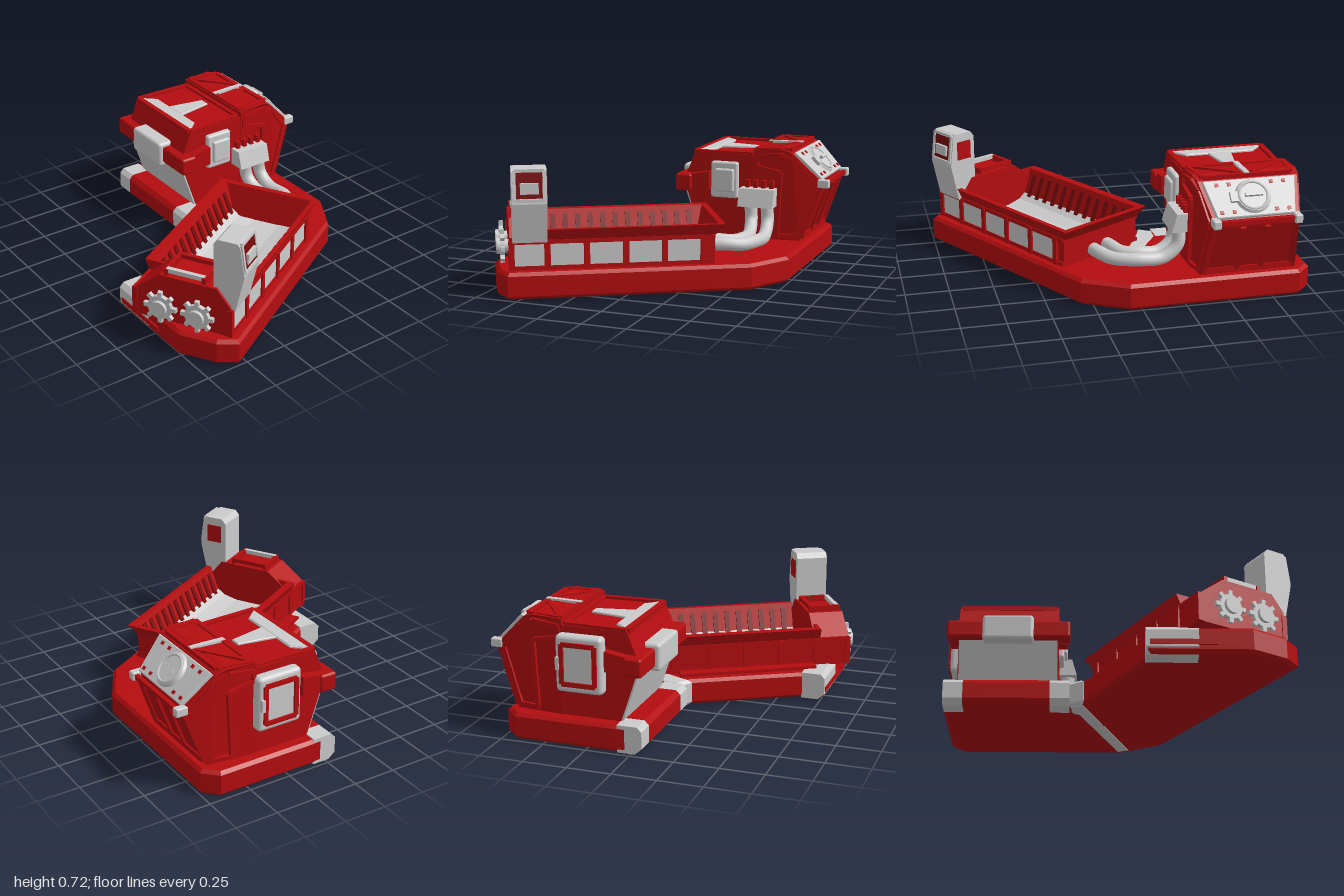
import * as THREE from 'three';
import { RoundedBoxGeometry } from 'three/addons/geometries/RoundedBoxGeometry.js';

const red = new THREE.MeshStandardMaterial({ color: 0xb50d0f });
const dark = new THREE.MeshStandardMaterial({ color: 0x7a0808 });
const grey = new THREE.MeshStandardMaterial({ color: 0xcccccc });
const V = (p) => new THREE.Vector3(...p);

function add(parent, name, geo, mat, pos = [0, 0, 0]) {
  const m = new THREE.Mesh(geo, mat);
  m.name = name;
  m.position.set(...pos);
  parent.add(m);
  return m;
}
// Box given by its ranges
function box(parent, name, mat, [x0, x1], [y0, y1], [z0, z1], r = 0) {
  const s = [x1 - x0, y1 - y0, z1 - z0];
  const g = r ? new RoundedBoxGeometry(...s, 2, r) : new THREE.BoxGeometry(...s);
  return add(parent, name, g, mat, [(x0 + x1) / 2, (y0 + y1) / 2, (z0 + z1) / 2]);
}
// Square bar between two points
function bar(parent, name, mat, a, b, w = 0.025, h = w) {
  const A = V(a), B = V(b);
  const m = new THREE.Mesh(new THREE.BoxGeometry(w, h, A.distanceTo(B)), mat);
  m.name = name;
  m.position.copy(A).lerp(B, 0.5);
  m.lookAt(B);
  parent.add(m);
}
const loopBars = (parent, name, mat, pts, w) =>
  pts.forEach((p, i) => bar(parent, name, mat, p, pts[(i + 1) % pts.length], w));

const shape = (pts) => new THREE.Shape(pts.map((p) => new THREE.Vector2(...p)));
// Profile in (x, y), swept along z
const sweepZ = (pts, z0, z1) =>
  new THREE.ExtrudeGeometry(shape(pts), { depth: z1 - z0, bevelEnabled: false }).translate(0, 0, z0);
// Profile in (z, y), swept across x
const sweepX = (pts, x0, x1) => sweepZ(pts, 0, x1 - x0).rotateY(-Math.PI / 2).translate(x1, 0, 0);
// Outline in (x, z), raised from y0 to y1 with chamfered edges
function slab(pts, y0, y1, b) {
  const g = new THREE.ExtrudeGeometry(shape(pts), {
    depth: y1 - y0 - 2 * b, bevelThickness: b, bevelSize: b, bevelOffset: -b, bevelSegments: 1 });
  return g.rotateX(Math.PI / 2).translate(0, y1 - b, 0);
}
// Flat-sided skin through rectangles [x0, x1, z0, z1, y]
function rectLoft(rings) {
  const pos = [];
  const c = rings.map(([a, b, d, e, y]) => [[a, y, d], [a, y, e], [b, y, e], [b, y, d]]);
  for (let i = 0; i + 1 < c.length; i++) for (let j = 0; j < 4; j++) {
    const k = (j + 1) % 4;
    for (const p of [c[i][j], c[i][k], c[i + 1][k], c[i][j], c[i + 1][k], c[i + 1][j]]) pos.push(...p);
  }
  const g = new THREE.BufferGeometry();
  g.setAttribute('position', new THREE.Float32BufferAttribute(pos, 3));
  g.computeVertexNormals();
  return g;
}

function buildBase(root) {
  const base = new THREE.Group();
  base.name = 'base';
  add(base, 'basePlate', slab([[-0.98, -0.67], [-0.9, -0.75], [0.07, -0.75], [0.32, -0.61], [1, 0.55],
    [0.93, 0.65], [0.74, 0.765], [0.18, 0.765], [0.17, 0.64], [-0.16, 0.06], [-0.26, 0], [-0.27, 0.03],
    [-0.97, 0.03], [-0.98, -0.1]], 0.003, 0.152, 0.018), red);
  const end = (z) => [[z - 0.14, 0.001], [z - 0.04, 0.001], [z, 0.035], [z, 0.13], [z - 0.025, 0.156], [z - 0.14, 0.156]];
  add(base, 'shortArmEnd', sweepX(end(0.062), -0.86, -0.36), red);
  add(base, 'shortArmCorner', sweepX(end(0.062), -0.975, -0.86), grey);
  add(base, 'shortArmCorner', sweepX(end(0.062), -0.36, -0.245), grey);
  add(base, 'longArmEnd', sweepX(end(0.772), 0.168, 0.45), grey);
  bar(base, 'markingStrip', red, [0.19, 0.06, 0.77], [0.55, 0.06, 0.77], 0.012, 0.03);
  bar(base, 'jointSeam', grey, [0.08, 0.007, -0.7], [-0.2, 0.007, 0.02], 0.07, 0.014);
  add(base, 'jointCorner', slab([[-0.25, -0.08], [-0.1, -0.3], [-0.04, -0.2], [-0.13, -0.02], [-0.165, 0.065], [-0.255, 0.01]], 0.003, 0.156, 0.018), grey);
  root.add(base);
}

function buildCabin(root) {
  const cab = new THREE.Group();
  cab.name = 'cabin';
  const cx = -0.61;
  add(cab, 'frontHousing', sweepX([[-0.08, 0.15], [0.01, 0.42], [0.01, 0.53], [-0.04, 0.655],
    [-0.44, 0.655], [-0.44, 0.15]], -0.905, -0.315), red);
  add(cab, 'frontPlate', sweepX([[-0.085, 0.15], [-0.07, 0.15], [0.02, 0.42], [0.01, 0.42]], -0.9, -0.32), grey);
  // Rear housing narrows toward the back
  const rear = sweepX([[-0.69, 0.15], [-0.41, 0.15], [-0.41, 0.69], [-0.58, 0.7], [-0.64, 0.68],
    [-0.81, 0.51], [-0.8, 0.46]], -0.91, -0.31);
  const narrow = (x, z) => cx + (x - cx) * (z < -0.58 ? 1 - (-0.58 - z) * 0.85 : 1);
  const p = rear.attributes.position;
  for (let i = 0; i < p.count; i++) p.setX(i, narrow(p.getX(i), p.getZ(i)));
  rear.computeVertexNormals();
  add(cab, 'rearHousing', rear, red);

  // Wrap-round band and centre block
  box(cab, 'frontBand', red, [-0.97, -0.245], [0.425, 0.53], [-0.04, 0.062], 0.015);
  box(cab, 'bandBlock', grey, [-0.76, -0.46], [0.4, 0.555], [-0.02, 0.09], 0.02);
  for (const x of [-0.93, -0.29])
    add(cab, 'bandArm', sweepX([[-0.15, 0.44], [-0.03, 0.425], [-0.03, 0.53], [-0.15, 0.55]], x - 0.03, x + 0.03), red);

  // Roof frames
  add(cab, 'roofLip', slab([[-0.89, -0.045], [-0.33, -0.045], [-0.41, -0.135], [-0.81, -0.135]], 0.64, 0.668, 0.006), grey);
  loopBars(cab, 'roofFrame', red, [[-0.89, 0.655, -0.045], [-0.33, 0.655, -0.045], [-0.34, 0.655, -0.4], [-0.88, 0.655, -0.4]], 0.03);
  add(cab, 'roofCentre', slab([[-0.68, -0.13], [-0.54, -0.13], [-0.58, -0.35], [-0.64, -0.35]], 0.64, 0.667, 0.004), grey);
  loopBars(cab, 'rearRoofFrame', red, [[-0.89, 0.688, -0.43], [-0.33, 0.688, -0.43], [-0.36, 0.69, -0.62], [-0.86, 0.69, -0.62]], 0.028);
  bar(cab, 'roofSpine', grey, [cx, 0.695, -0.42], [cx, 0.7, -0.63], 0.03, 0.022);
  for (const s of [-1, 1]) {
    bar(cab, 'rearRoofBrace', red, [cx + s * 0.03, 0.697, -0.61], [cx + s * 0.26, 0.692, -0.44], 0.025);
    const x = cx + s * 0.3;
    // Raised side frames and back wall ribs
    const side = [[-0.43, 0.65], [-0.58, 0.67], [-0.66, 0.63], [-0.775, 0.49], [-0.67, 0.18], [-0.56, 0.18], [-0.58, 0.56], [-0.43, 0.59]];
    loopBars(cab, 'sideFrame', red, side.map(([z, y]) => [narrow(x, z), y, z]), 0.022);
    bar(cab, 'backEdge', red, [cx + s * 0.23, 0.48, -0.8], [cx + s * 0.255, 0.17, -0.69], 0.035);
    bar(cab, 'backRib', red, [cx + s * 0.07, 0.46, -0.8], [cx + s * 0.07, 0.17, -0.695], 0.03);
    box(cab, 'backClamp', grey, [cx + s * 0.23 - 0.022, cx + s * 0.23 + 0.022], [0.475, 0.525], [-0.86, -0.79], 0.008);
  }
  bar(cab, 'backRail', red, [-0.84, 0.5, -0.835], [-0.38, 0.5, -0.835], 0.025);
  bar(cab, 'backSill', red, [-0.86, 0.18, -0.7], [-0.36, 0.18, -0.7], 0.03);

  // Sloping rear panel with round hatch
  const panel = new THREE.Group();
  panel.name = 'rearPanel';
  panel.position.set(cx, 0.598, -0.728);
  panel.rotation.x = -Math.PI / 4;
  add(panel, 'panelPlate', slab([[-0.22, -0.115], [0.22, -0.115], [0.265, 0.11], [-0.265, 0.11]], -0.01, 0.015, 0.005), grey);
  add(panel, 'hatch', new THREE.CylinderGeometry(0.09, 0.105, 0.02, 32), grey, [0, 0.02, 0]);
  add(panel, 'hatchRing', new THREE.TorusGeometry(0.08, 0.007, 6, 32).rotateX(Math.PI / 2), grey, [0, 0.031, 0]);
  bar(panel, 'hatchHandle', grey, [-0.05, 0.042, 0], [0.05, 0.042, 0], 0.018);
  box(panel, 'hatchHinge', grey, [0.09, 0.13], [0.01, 0.035], [-0.03, 0.03]);
  for (const x of [-0.19, -0.12, 0.12, 0.19]) for (const z of [-0.085, 0.08])
    box(panel, 'panelBolt', red, [x - 0.01, x + 0.01], [0.01, 0.02], [z - 0.01, z + 0.01]);
  cab.add(panel);

  // Side boxes
  box(cab, 'sideBoxFrame', grey, [-0.33, -0.285], [0.39, 0.61], [-0.32, -0.15], 0.015);
  box(cab, 'sideBoxCover', grey, [-0.3, -0.265], [0.43, 0.57], [-0.3, -0.18], 0.012);
  add(cab, 'pipeBox', sweepZ([[-0.32, 0.36], [-0.21, 0.36], [-0.24, 0.465], [-0.32, 0.465]], -0.56, -0.345), grey);
  for (let i = 0; i < 4; i++) {
    const z = -0.38 - i * 0.05;
    box(cab, 'ventTooth', red, [-0.32, -0.285], [0.46, 0.51], [z - 0.012, z + 0.012]);
  }
  box(cab, 'screenBox', grey, [-0.965, -0.89], [0.3, 0.62], [-0.43, -0.16], 0.025);
  loopBars(cab, 'screenFrame', red, [[-0.965, 0.35, -0.39], [-0.965, 0.57, -0.39], [-0.965, 0.57, -0.2], [-0.965, 0.35, -0.2]], 0.025);
  box(cab, 'screenCatch', grey, [-0.985, -0.95], [0.43, 0.5], [-0.42, -0.4]);

  // Pipes from the cabin to the trough
  [[[-0.26, 0.4, -0.51], [-0.255, 0.28, -0.52], [-0.17, 0.21, -0.53], [-0.02, 0.21, -0.535], [0.11, 0.21, -0.48], [0.17, 0.22, -0.4], [0.19, 0.22, -0.35]],
    [[-0.26, 0.4, -0.41], [-0.255, 0.28, -0.42], [-0.17, 0.21, -0.435], [-0.05, 0.21, -0.44], [0.04, 0.21, -0.4], [0.085, 0.22, -0.32], [0.1, 0.22, -0.285]]].forEach((pts) =>
    add(cab, 'pipe', new THREE.TubeGeometry(new THREE.CatmullRomCurve3(pts.map(V)), 40, 0.038, 14), grey));
  root.add(cab);
}

function buildTrough(root) {
  const t = new THREE.Group();
  t.name = 'trough';
  t.rotation.y = Math.PI / 6;
  const skin = red.clone();
  skin.side = THREE.DoubleSide;
  add(t, 'troughShell', rectLoft([[-0.03, 0.525, -0.17, 0.78, 0.14], [-0.03, 0.525, -0.17, 0.78, 0.31],
    [-0.06, 0.56, -0.225, 0.78, 0.38], [-0.01, 0.53, -0.19, 0.76, 0.38], [0.06, 0.46, -0.14, 0.75, 0.2]]), skin);
  // Dished grey bed
  add(t, 'troughBed', sweepZ([[0.04, 0.24], [0.09, 0.205], [0.18, 0.185], [0.34, 0.185], [0.43, 0.205],
    [0.48, 0.24], [0.48, 0.17], [0.04, 0.17]], -0.16, 0.75), grey);
  box(t, 'ledge', red, [-0.11, 0.02], [0.13, 0.17], [-0.08, 0.74]);
  // Inner teeth
  for (let i = 0; i < 12; i++) {
    const z = -0.11 + i * 0.073;
    bar(t, 'innerTooth', dark, [0.0, 0.35, z], [0.055, 0.22, z], 0.03, 0.018);
    bar(t, 'innerTooth', dark, [0.52, 0.35, z], [0.465, 0.22, z], 0.03, 0.018);
  }
  // Side windows and posts
  for (const x of [-0.03, 0.525]) {
    for (let i = 0; i < 5; i++) {
      const z = 0.003 + i * 0.215;
      box(t, 'sideWindow', x > 0 ? grey : red, [x - 0.006, x + 0.006], [0.17, 0.3], [z - 0.09, z + 0.09]);
    }
    for (let i = 0; i < 6; i++) {
      const z = Math.min(-0.105 + i * 0.215, 0.95);
      bar(t, 'sidePost', red, [x, 0.15, z], [x, 0.315, z], 0.032);
    }
    for (const y of [0.165, 0.308]) bar(t, 'sideRail', red, [x, y, -0.17], [x, y, 0.96], 0.022);
  }

  // Control block at the far end
  add(t, 'controlBlock', sweepZ([[-0.035, 0.15], [0.525, 0.15], [0.525, 0.335], [0.45, 0.43], [0.12, 0.43],
    [-0.035, 0.31]], 0.75, 0.96), red);
  for (const x of [0.15, 0.37]) bar(t, 'topRail', red, [x, 0.44, 0.76], [x, 0.44, 0.95], 0.022, 0.05);
  bar(t, 'topBar', red, [0.15, 0.455, 0.77], [0.37, 0.455, 0.77], 0.025);
  bar(t, 'topBar', grey, [0.15, 0.455, 0.93], [0.37, 0.455, 0.93], 0.025);

  // Valve wheels
  for (const x of [0.138, 0.355]) {
    const w = new THREE.Group();
    w.name = 'valveWheel';
    w.position.set(x, 0.255, 0.955);
    const disc = (r, d, z) => add(w, 'wheelDisc', new THREE.CylinderGeometry(r, r, d, 24).rotateX(Math.PI / 2), grey, [0, 0, z]);
    disc(0.035, 0.04, 0.02);
    disc(0.07, 0.025, 0.04);
    disc(0.045, 0.045, 0.05);
    for (let i = 0; i < 8; i++) {
      const a = i * Math.PI / 4;
      bar(w, 'wheelSpoke', grey, [0, 0, 0.04], [0.095 * Math.cos(a), 0.095 * Math.sin(a), 0.04], 0.024);
    }
    t.add(w);
  }

  // Tower with tilted display
  const tower = new THREE.Group();
  tower.name = 'tower';
  add(tower, 'towerBody', sweepZ([[0.425, 0.31], [0.55, 0.31], [0.6, 0.53], [0.575, 0.7], [0.56, 0.72], [0.45, 0.72],
    [0.425, 0.69]], 0.755, 0.945), grey);
  box(tower, 'backCover', red, [0.455, 0.55], [0.56, 0.67], [0.75, 0.76]);
  loopBars(tower, 'displayFrame', grey, [[0.596, 0.55, 0.77], [0.574, 0.71, 0.77], [0.574, 0.71, 0.93], [0.596, 0.55, 0.93]], 0.018);
  bar(tower, 'display', dark, [0.592, 0.56, 0.85], [0.575, 0.7, 0.85], 0.145, 0.01);
  bar(tower, 'displayHandle', grey, [0.588, 0.615, 0.8], [0.588, 0.615, 0.9], 0.03, 0.06);
  t.add(tower);
  root.add(t);
}

export function createModel() {
  const root = new THREE.Group();
  root.name = 'processingStation';
  buildBase(root);
  buildCabin(root);
  buildTrough(root);
  return root;
}
